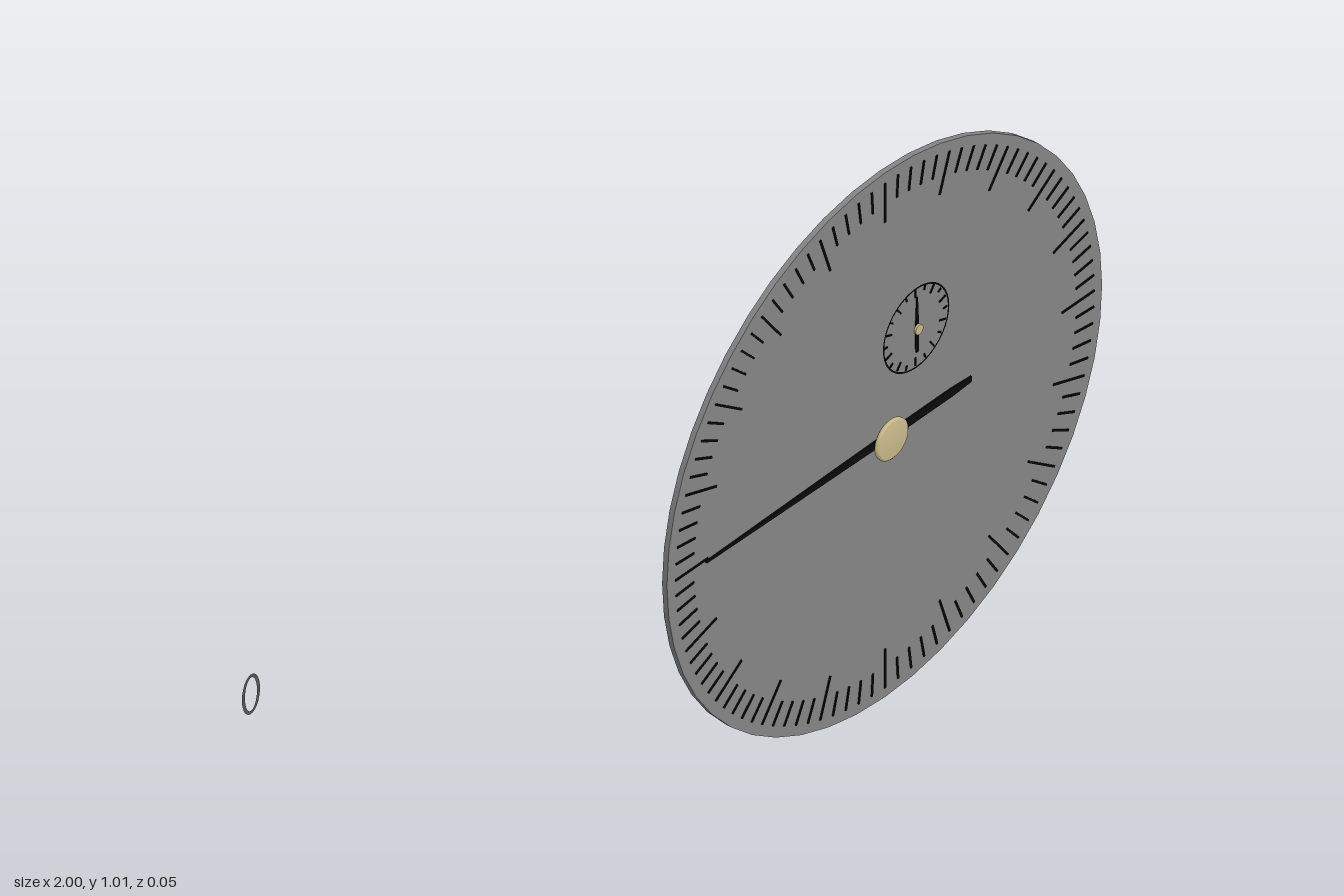
import * as THREE from 'three';

const mat = (color) => new THREE.MeshStandardMaterial({ color, side: THREE.DoubleSide });
const black = mat(0x0a0a0a), plateGrey = mat(0x858585), brass = mat(0xc8b98a), darkGrey = mat(0x555555);

function add(parent, name, geometry, material, x = 0, y = 0, z = 0) {
  const mesh = new THREE.Mesh(geometry, material);
  mesh.name = name;
  mesh.position.set(x, y, z);
  parent.add(mesh);
  return mesh;
}

// Cylinder whose axis runs along z
const disc = (r, depth, sides) => new THREE.CylinderGeometry(r, r, depth, sides).rotateX(Math.PI / 2);

// Ring of radial marks; every n-th one is longer
function addTicks(parent, name, { count, every, outer, minor, major, width, z }) {
  const group = new THREE.Group();
  group.name = name;
  for (let i = 0; i < count; i++) {
    const length = i % every === 0 ? major : minor;
    const g = new THREE.BoxGeometry(width, length, 0.002).translate(0, outer - length / 2, 0);
    add(group, 'tick', g, black, 0, 0, z).rotation.z = (-i / count) * Math.PI * 2;
  }
  parent.add(group);
}

// Flat pointer along +y, from [distance, half width] stations
function pointer(stations, depth) {
  const right = stations.map(([y, w]) => new THREE.Vector2(w, y));
  const left = stations.map(([y, w]) => new THREE.Vector2(-w, y)).reverse();
  return new THREE.ExtrudeGeometry(new THREE.Shape([...right, ...left]), { depth, bevelEnabled: false });
}

export function createModel() {
  const model = new THREE.Group();
  model.name = 'dialGauge';

  const dial = new THREE.Group();
  dial.name = 'dial';
  dial.position.set(0.493, 0.505, 0);
  model.add(dial);

  // Face plate and its scale
  add(dial, 'facePlate', disc(0.505, 0.01, 48), plateGrey);
  addTicks(dial, 'mainScale', {
    count: 100, every: 5, outer: 0.486, minor: 0.042, major: 0.075, width: 0.0035, z: 0.006,
  });

  // Main hand, pointing to the model's right
  const hand = pointer([[-0.195, 0.005], [-0.15, 0.008], [0, 0.008], [0.15, 0.006], [0.42, 0.002]], 0.003);
  add(dial, 'mainHand', hand, black, 0, 0, 0.009).rotation.z = Math.PI / 2;

  // Axle and domed cap
  add(dial, 'axle', disc(0.009, 0.04, 16), black, 0, 0, -0.005);
  const capProfile = [[0, 0], [0.033, 0], [0.037, 0.003], [0.037, 0.007], [0.033, 0.01], [0, 0.011]];
  const cap = new THREE.LatheGeometry(capProfile.map(([r, y]) => new THREE.Vector2(r, y)), 32);
  add(dial, 'handCap', cap.rotateX(Math.PI / 2), brass, 0, 0, 0.014);

  // Small revolution counter
  const counter = new THREE.Group();
  counter.name = 'counterDial';
  counter.position.set(0.071, 0.167, 0);
  dial.add(counter);
  add(counter, 'counterRim', new THREE.RingGeometry(0.074, 0.077, 40), black, 0, 0, 0.007);
  addTicks(counter, 'counterScale', {
    count: 20, every: 2, outer: 0.073, minor: 0.008, major: 0.015, width: 0.0025, z: 0.006,
  });
  add(counter, 'counterHand', pointer([[-0.045, 0.003], [0, 0.004], [0.06, 0.001]], 0.002), black, 0, 0, 0.008);
  add(counter, 'counterCap', disc(0.009, 0.004, 16), brass, 0, 0, 0.012);

  // Loose flat oval ring beside the dial
  const oval = new THREE.Shape().absellipse(0, 0, 0.021, 0.038, 0, Math.PI * 2);
  oval.holes.push(new THREE.Path().absellipse(0, 0, 0.014, 0.032, 0, Math.PI * 2, true));
  add(model, 'looseOvalRing', new THREE.ShapeGeometry(oval, 20), darkGrey, -0.979, 0.853, 0.006);

  return model;
}
